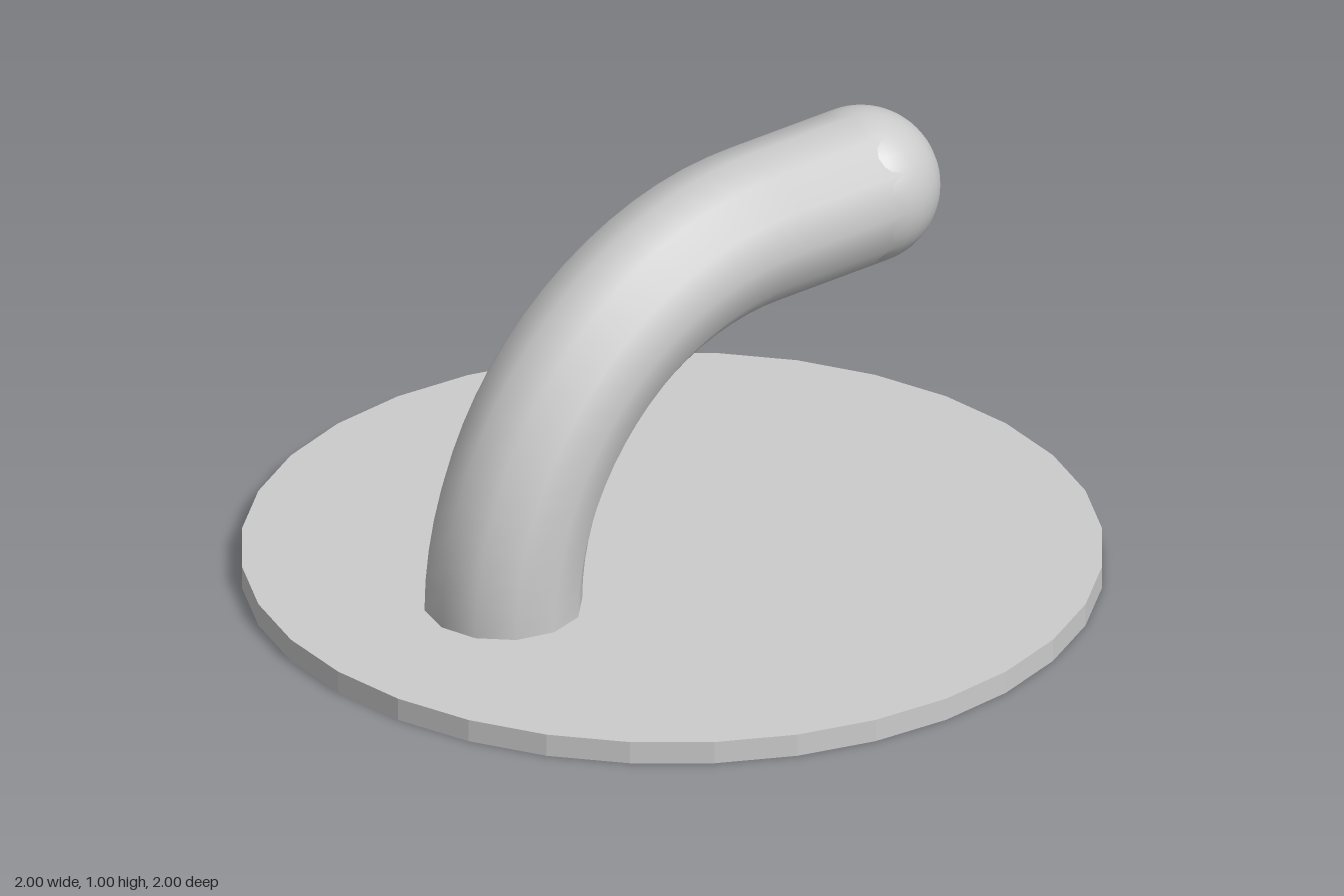
import * as THREE from 'three';

export function createModel() {
  const group = new THREE.Group();
  const grey = { color: 0xcccccc };
  const pipeRadius = 0.185, bendRadius = 0.745;
  const bendX = 0.24, footY = 0.07, tipX = 0.565;
  const pipeY = footY + bendRadius;

  // Thin round base plate
  const plate = new THREE.Mesh(
    new THREE.CylinderGeometry(1, 1, 0.055, 32),
    new THREE.MeshStandardMaterial({ ...grey, flatShading: true })
  );
  plate.name = 'basePlate';
  plate.position.y = 0.0275;
  group.add(plate);

  // Pipe centre line: quarter bend rising from the foot, then a straight run
  class QuarterBend extends THREE.Curve {
    getPoint(t, target = new THREE.Vector3()) {
      const a = t * Math.PI / 2;
      return target.set(bendX - bendRadius * Math.cos(a), footY + bendRadius * Math.sin(a), 0);
    }
  }
  const path = new THREE.CurvePath();
  path.add(new QuarterBend());
  path.add(new THREE.LineCurve3(
    new THREE.Vector3(bendX, pipeY, 0),
    new THREE.Vector3(tipX, pipeY, 0)
  ));

  // Open-ended bent pipe
  const pipe = new THREE.Mesh(
    new THREE.TubeGeometry(path, 24, pipeRadius, 12, false),
    new THREE.MeshStandardMaterial({ ...grey, side: THREE.DoubleSide })
  );
  pipe.name = 'bentPipe';
  group.add(pipe);

  // Ball closing the free end
  const tip = new THREE.Mesh(
    new THREE.SphereGeometry(pipeRadius, 32, 24),
    new THREE.MeshStandardMaterial(grey)
  );
  tip.name = 'roundTip';
  tip.position.set(tipX, pipeY, 0);
  group.add(tip);

  return group;
}
